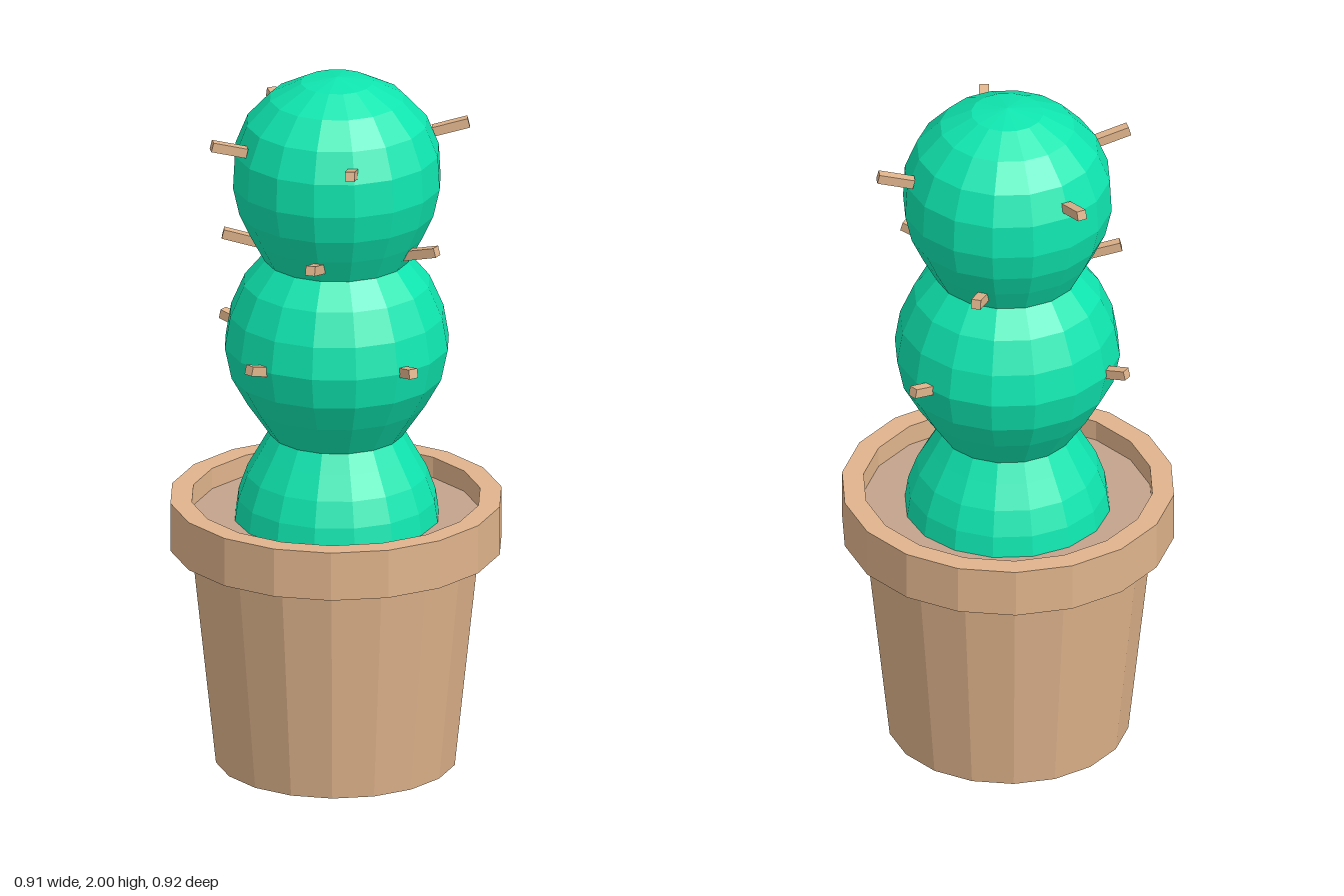
import * as THREE from 'three';

const mat = (color) => new THREE.MeshStandardMaterial({ color, flatShading: true });

// Faceted solid of revolution; profile runs from the bottom up as [radius, y]
function lathe(name, profile, sides, material) {
  const pts = profile.map(([r, y]) => new THREE.Vector2(r, y));
  const mesh = new THREE.Mesh(new THREE.LatheGeometry(pts, sides), material);
  mesh.name = name;
  return mesh;
}

export function createModel() {
  const model = new THREE.Group();
  model.name = 'pottedCactus';
  const clay = mat(0xe0b48c), earth = mat(0xc4a38c), green = mat(0x0fe6b0);

  // Pot: closed base, tapered wall, overhanging rim and inner wall
  model.add(lathe('pot', [
    [0, 0], [0.335, 0], [0.402, 0.63], [0.462, 0.63], [0.462, 0.77], [0.402, 0.77], [0.402, 0.69],
  ], 18, clay));

  // Soil disc
  const soil = new THREE.Mesh(new THREE.CircleGeometry(0.402, 18, Math.PI / 2), earth);
  soil.name = 'soil';
  soil.rotation.x = -Math.PI / 2;
  soil.position.y = 0.71;
  model.add(soil);

  // Cactus: three stacked bulbs pinched at the necks
  const cactus = lathe('cactusBody', [
    [0.287, 0.70], [0.277, 0.77], [0.252, 0.84], [0.215, 0.905], [0.186, 0.957],
    [0.25, 1.05], [0.295, 1.13], [0.314, 1.22], [0.299, 1.31], [0.26, 1.40], [0.202, 1.47],
    [0.24, 1.54], [0.273, 1.61], [0.291, 1.69], [0.286, 1.785], [0.252, 1.87],
    [0.187, 1.94], [0.1, 1.985], [0, 2],
  ], 16, green);
  cactus.rotation.y = 0.16;
  cactus.position.z = -0.006;
  model.add(cactus);

  // Spines in three rings: inner and outer end of each as [x, z, x, z]
  const rings = [
    { y: [1.815, 1.84], ends: [
      [0.22, -0.172, 0.31, -0.212], [0.142, 0.23, 0.168, 0.318],
      [-0.195, 0.18, -0.277, 0.232], [-0.222, -0.168, -0.287, -0.235]] },
    { y: [1.512, 1.54], ends: [
      [0, -0.2, -0.003, -0.308], [0.21, 0.018, 0.312, 0.03],
      [0.036, 0.2, 0.044, 0.302], [-0.19, 0.07, -0.293, 0.108]] },
    { y: [1.215, 1.235], ends: [
      [0.13, -0.26, 0.172, -0.332], [0.235, 0.135, 0.307, 0.192],
      [-0.097, 0.27, -0.125, 0.335], [-0.275, -0.046, -0.364, -0.066]] },
  ];
  const spines = new THREE.Group();
  spines.name = 'spines';
  for (const { y, ends } of rings) {
    for (const [x1, z1, x2, z2] of ends) {
      const a = new THREE.Vector3(x1, y[0], z1), b = new THREE.Vector3(x2, y[1], z2);
      const spine = new THREE.Mesh(new THREE.BoxGeometry(0.027, 0.027, a.distanceTo(b)), clay);
      spine.name = 'spine';
      spine.position.copy(a).lerp(b, 0.5);
      spine.lookAt(b);
      spines.add(spine);
    }
  }
  model.add(spines);
  return model;
}
